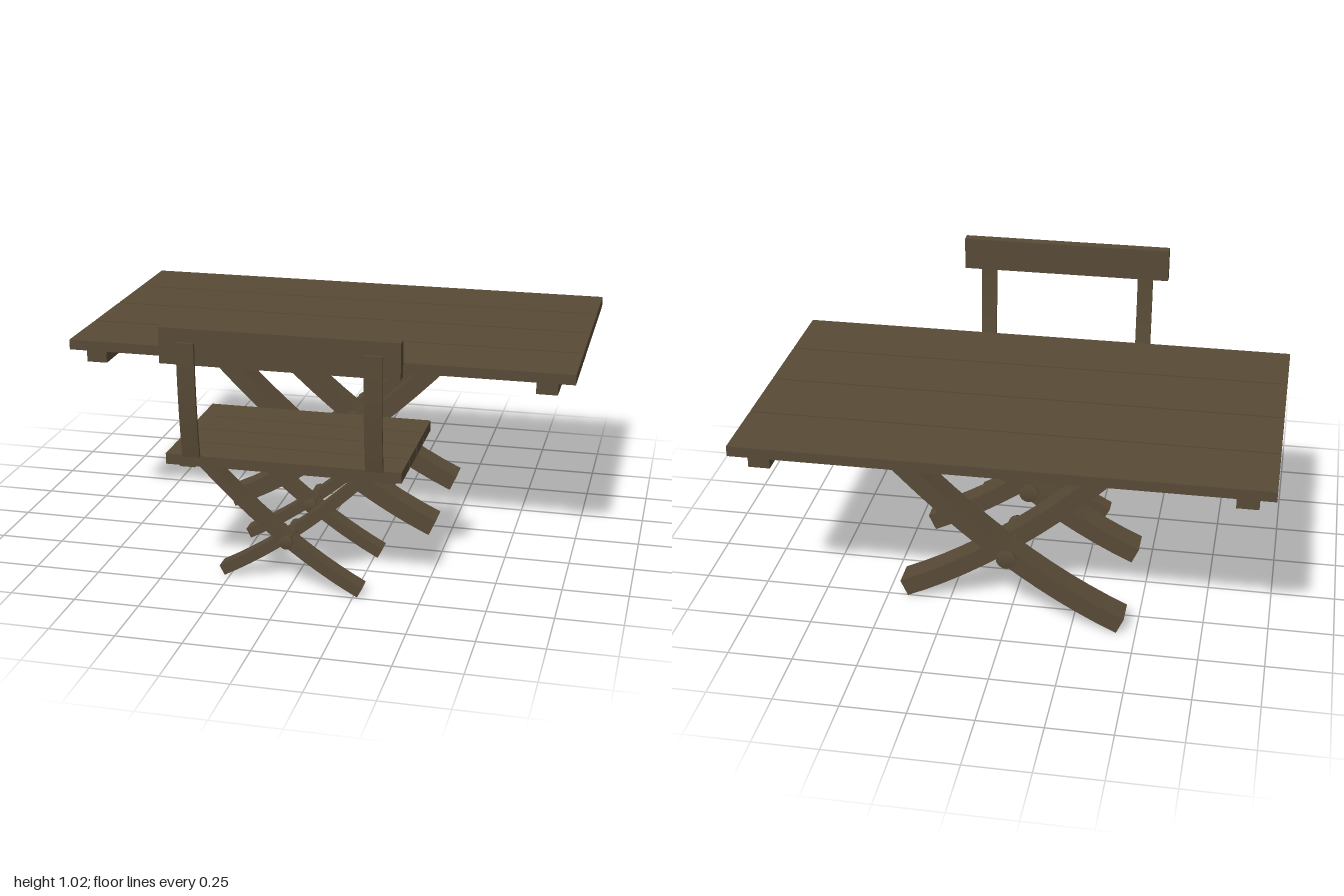
import * as THREE from 'three';

const wood = new THREE.MeshStandardMaterial({ color: 0x584a36 });
wood.name = 'dark brown wood';

function add(group, name, geometry) {
  const mesh = new THREE.Mesh(geometry, wood);
  mesh.name = name;
  group.add(mesh);
  return mesh;
}

// Box given by its limits on each axis
function board(group, name, [x0, x1], [y0, y1], [z0, z1]) {
  const mesh = add(group, name, new THREE.BoxGeometry(x1 - x0, y1 - y0, z1 - z0));
  mesh.position.set((x0 + x1) / 2, (y0 + y1) / 2, (z0 + z1) / 2);
}

// Closed outline extruded from z0 to z1
function slab(points, z0, z1) {
  const geometry = new THREE.ExtrudeGeometry(new THREE.Shape(points),
    { depth: z1 - z0, bevelEnabled: false });
  return geometry.translate(0, 0, z0);
}

// Bowed leg: follows y = pivot - a*x + b*x^2, square at the foot, cut level at the top
function legGeometry({ pivot, a, b, foot, reach, half, top }, dir, z0, z1) {
  const edge = (side) => {
    const points = [];
    for (let i = 0; i <= 14; i++) {
      const x = foot - (foot + reach) * i / 14;
      const slope = -a + 2 * b * x;
      const n = side * half / Math.hypot(1, slope);
      const p = new THREE.Vector2(x - slope * n, pivot - a * x + b * x * x + n);
      const last = points[points.length - 1];
      if (last && p.y >= top) {
        points.push(last.clone().lerp(p, (top - last.y) / (p.y - last.y)));
        break;
      }
      points.push(p);
    }
    return points;
  };
  const outline = [...edge(1), ...edge(-1).reverse()];
  outline.forEach((p) => { p.x = p.x * dir - 0.003; });
  return slab(outline, z0, z1);
}

// Pivot bolt with flared heads, lying along z
function bolt(group, name, y, z0, z1, r) {
  const h = (z1 - z0) / 2;
  const half = [[0, -h], [r, -h], [r, -h + 0.008], [r * 0.82, -h + 0.024]];
  const profile = [...half, ...half.map(([q, t]) => [q, -t]).reverse()]
    .map(([q, t]) => new THREE.Vector2(q, t));
  const geometry = new THREE.LatheGeometry(profile, 20).rotateX(Math.PI / 2);
  add(group, name, geometry).position.set(-0.003, y, (z0 + z1) / 2);
}

// One scissor pair: front leg, rear leg and the bolt through both
function legPair(group, name, spec, front, rear, boltSpan, boltRadius) {
  const pair = new THREE.Group();
  pair.name = name;
  add(pair, 'frontLeg', legGeometry(spec, 1, ...front));
  add(pair, 'rearLeg', legGeometry(spec, -1, ...rear));
  bolt(pair, 'pivotBolt', spec.pivot, ...boltSpan, boltRadius);
  group.add(pair);
}

function createTable() {
  const table = new THREE.Group();
  table.name = 'table';

  // Top planks and the battens beneath them
  for (let i = 0; i < 4; i++) {
    const z = -0.82 + i * 0.2857;
    board(table, 'tablePlank', [-1, 1], [0.75, 0.79], [z, z + 0.2785]);
  }
  for (const x of [-0.899, 0.891]) {
    board(table, 'tableBatten', [x - 0.041, x + 0.041], [0.695, 0.75], [-0.79, 0.285]);
  }

  const leg = { pivot: 0.3, a: 0.752, b: 0.34, foot: 0.4375, reach: 0.62, half: 0.035, top: 0.75 };
  legPair(table, 'frontTableLegs', leg, [0.002, 0.108], [-0.121, -0.013], [-0.142, 0.13], 0.039);
  legPair(table, 'backTableLegs', leg, [-0.508, -0.4], [-0.63, -0.524], [-0.648, -0.378], 0.039);
  return table;
}

function createChair() {
  const chair = new THREE.Group();
  chair.name = 'chair';

  // Seat slats and battens
  for (let i = 0; i < 4; i++) {
    const z = 0.182 + i * 0.148;
    board(chair, 'seatSlat', [-0.455, 0.433], [0.48, 0.521], [z, z + 0.143]);
  }
  for (const x of [-0.393, 0.371]) {
    board(chair, 'seatBatten', [x - 0.029, x + 0.029], [0.45, 0.48], [0.204, 0.706]);
  }

  // Bowed back uprights, drawn in the z-y plane and turned to run along x
  const bow = (t, shift) => new THREE.Vector2(
    0.772 + 0.038 * (1 - (1 - t) ** 2) + shift, 0.52 + 0.447 * t);
  const outline = [];
  for (let i = 0; i <= 10; i++) outline.push(bow(i / 10, 0));
  for (let i = 10; i >= 0; i--) outline.push(bow(i / 10, 0.012));
  for (const x of [-0.353, 0.335]) {
    const geometry = slab(outline, -0.033, 0.033).rotateY(-Math.PI / 2);
    add(chair, 'backUpright', geometry).position.x = x;
  }
  board(chair, 'backRail', [-0.455, 0.433], [0.882, 1.018], [0.765, 0.809]);

  const leg = { pivot: 0.2, a: 0.768, b: 0.438, foot: 0.278, reach: 0.42, half: 0.021, top: 0.48 };
  legPair(chair, 'frontChairLegs', leg, [0.675, 0.743], [0.594, 0.661], [0.578, 0.755], 0.027);
  legPair(chair, 'backChairLegs', leg, [0.305, 0.371], [0.226, 0.292], [0.208, 0.385], 0.027);
  return chair;
}

export function createModel() {
  const model = new THREE.Group();
  model.name = 'gardenTableAndChair';
  model.add(createTable(), createChair());
  return model;
}
